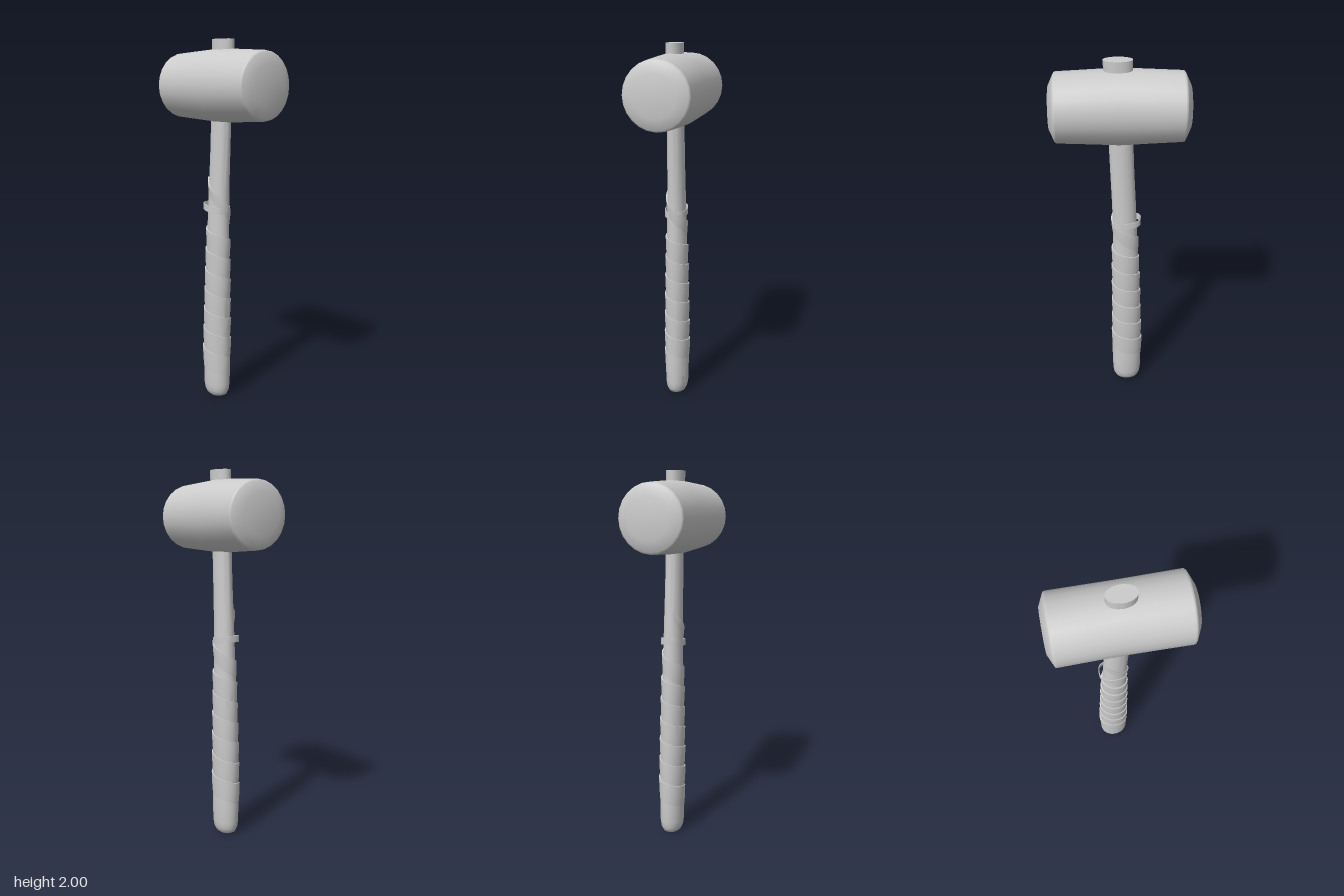
import * as THREE from 'three';
import { toCreasedNormals } from 'three/addons/utils/BufferGeometryUtils.js';

const material = new THREE.MeshStandardMaterial({ color: 0xcccccc });
const thinMaterial = new THREE.MeshStandardMaterial({ color: 0xcccccc, side: THREE.DoubleSide });

// Handle stations: y, centre x, half width in x, half depth in z
const STATIONS = [
  [0, -0.043, 0.045, 0.035], [0.012, -0.043, 0.066, 0.049], [0.035, -0.043, 0.077, 0.059],
  [0.07, -0.043, 0.082, 0.064], [0.2, -0.043, 0.084, 0.066], [0.4, -0.041, 0.08, 0.064],
  [0.6, -0.038, 0.076, 0.061], [0.8, -0.034, 0.072, 0.057], [1.0, -0.03, 0.067, 0.053],
  [1.2, -0.024, 0.064, 0.049], [1.4, -0.014, 0.063, 0.046], [1.6, -0.006, 0.063, 0.045],
  [1.8, 0.002, 0.066, 0.045], [2, 0.009, 0.074, 0.045],
];

function section(y) {
  let i = 0;
  while (i < STATIONS.length - 2 && y > STATIONS[i + 1][0]) i++;
  const a = STATIONS[i], b = STATIONS[i + 1];
  const t = (y - a[0]) / (b[0] - a[0]);
  return a.map((v, k) => v + (b[k] - v) * t);
}

// Point on the handle at a given angle and height, pushed out by an offset
function onHandle(angle, y, offset = 0) {
  const [, cx, rx, rz] = section(y);
  return [cx + Math.cos(angle) * (rx + offset), y, Math.sin(angle) * (rz + offset)];
}

// Grid surface from rows of points
function gridGeometry(rows) {
  const n = rows[0].length, index = [];
  for (let j = 0; j < rows.length - 1; j++) {
    for (let i = 0; i < n - 1; i++) {
      const a = j * n + i, b = a + n;
      index.push(a, b, a + 1, a + 1, b, b + 1);
    }
  }
  const geometry = new THREE.BufferGeometry();
  geometry.setAttribute('position', new THREE.Float32BufferAttribute(rows.flat(2), 3));
  geometry.setIndex(index);
  geometry.computeVertexNormals();
  return geometry;
}

function addMesh(group, name, geometry, mat = material) {
  const mesh = new THREE.Mesh(geometry, mat);
  mesh.name = name;
  group.add(mesh);
}

// Barrel head: taller in the middle, pinched in depth
function headGeometry() {
  const half = [[0.352, 0], [0.352, 0.11], [0.326, 0.166], [0.321, 0.174], [0.312, 0.176], [0.16, 0.176]];
  const profile = [
    ...half.map(([x, r]) => new THREE.Vector2(r, -x)),
    new THREE.Vector2(0.176, 0),
    ...half.slice().reverse().map(([x, r]) => new THREE.Vector2(r, x)),
  ];
  const geometry = new THREE.LatheGeometry(profile, 24);
  geometry.rotateZ(-Math.PI / 2);
  const p = geometry.attributes.position;
  for (let i = 0; i < p.count; i++) {
    const mid = Math.max(0, 1 - Math.abs(p.getX(i)) / 0.32);
    p.setY(i, p.getY(i) * (1 + 0.1 * mid));
    p.setZ(i, p.getZ(i) * (1 - 0.045 * mid));
  }
  return geometry.translate(0, 1.76, 0);
}

// Oval handle with closed ends
function handleGeometry() {
  const rows = STATIONS.map(([y]) =>
    Array.from({ length: 29 }, (_, i) => onHandle((i / 28) * Math.PI * 2, y)));
  rows.unshift(rows[0].map(() => [STATIONS[0][1], 0, 0]));
  rows.push(rows[0].map(() => [STATIONS.at(-1)[1], 2, 0]));
  return toCreasedNormals(gridGeometry(rows), 0.75);
}

// Overlapping spiral wrap, stretching out towards its upper end
function wrapGeometry() {
  const turns = 7.6, steps = 200, rows = [];
  const endAngle = Math.PI * 0.85;
  for (let j = 0; j <= steps; j++) {
    const t = (j / steps) * turns;
    const angle = endAngle + (t - turns) * Math.PI * 2;
    const late = Math.max(0, t - 6.3);
    const y = 0.17 + 0.115 * t + 0.12 * late * late;
    const width = 0.118 * (1 - 0.6 * Math.min(1, late / 1.3));
    const lift = 0.008 * Math.min(1, t * 2);
    rows.push([
      onHandle(angle, y - width / 2, 0.001),
      onHandle(angle, y, lift * 0.7),
      onHandle(angle, y + width / 2, lift),
      onHandle(angle, y + width / 2, -0.002),
    ]);
  }
  return toCreasedNormals(gridGeometry(rows), 0.7);
}

// Loose strap end standing clear of the handle on its right side
function loopGeometry() {
  const rows = [];
  for (let j = 0; j <= 32; j++) {
    const a = 0.25 + (j / 32) * (Math.PI * 2 - 0.5);
    const x = -0.038 + 0.077 * Math.cos(a);
    const squareness = Math.sign(Math.sin(a)) * Math.abs(Math.sin(a)) ** 0.7;
    const z = 0.004 + 0.061 * squareness;
    const y = 1.1 - 0.14 * (x + 0.038);
    const ring = [[x, y - 0.018, z], [x, y + 0.018, z]];
    const inner = ring.map(([px, py, pz]) => [-0.038 + (px + 0.038) * 0.95, py, pz * 0.95]);
    rows.push([ring[0], ring[1], inner[1], inner[0], ring[0]]);
  }
  return toCreasedNormals(gridGeometry(rows), 0.7);
}

export function createModel() {
  const group = new THREE.Group();
  group.name = 'mallet';
  addMesh(group, 'head', headGeometry());
  addMesh(group, 'handle', handleGeometry());
  addMesh(group, 'gripWrap', wrapGeometry(), thinMaterial);
  addMesh(group, 'strapLoop', loopGeometry(), thinMaterial);
  return group;
}
